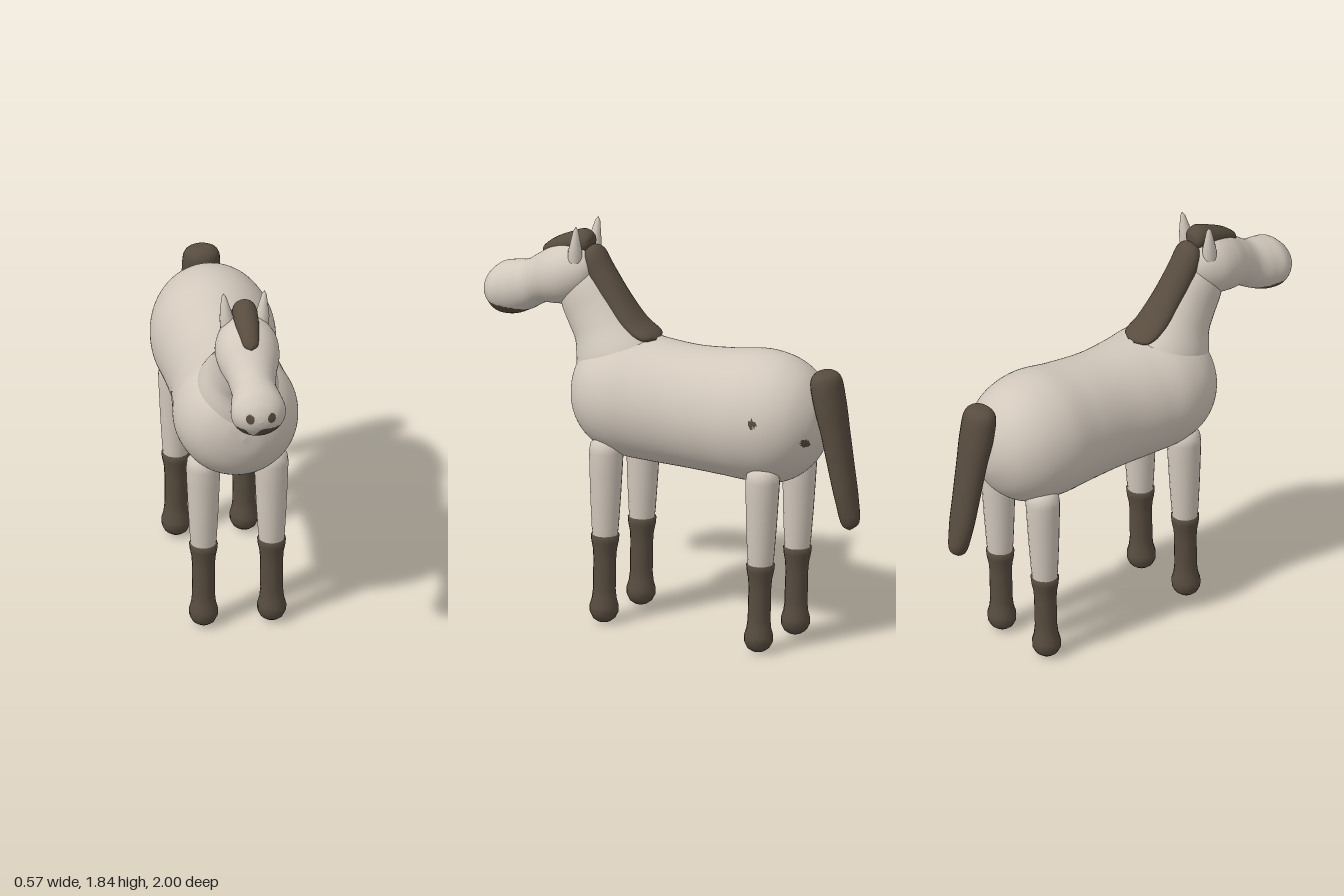
import * as THREE from 'three';

const coat = new THREE.MeshStandardMaterial({ color: 0xd2c8bc });
coat.name = 'coat';
const dark = new THREE.MeshStandardMaterial({ color: 0x584c3f });
dark.name = 'darkHair';

// Skin through oval rings: [upper z, upper y, lower z, lower y, half width].
// isDark(x, y, z) chooses which faces take the dark colour.
function loft(name, rings, rows, sides, isDark) {
  const upper = new THREE.CatmullRomCurve3(rings.map(r => new THREE.Vector3(r[4], r[1], r[0])));
  const lower = new THREE.CatmullRomCurve3(rings.map(r => new THREE.Vector3(r[4], r[3], r[2])));
  const pos = [];
  for (let i = 0; i <= rows; i++) {
    const a = upper.getPoint(i / rows), b = lower.getPoint(i / rows);
    const w = Math.max(0, (a.x + b.x) / 2);
    for (let j = 0; j < sides; j++) {
      const t = (j / sides) * Math.PI * 2, k = (1 + Math.cos(t)) / 2;
      pos.push(w * Math.sin(t), b.y + (a.y - b.y) * k, b.z + (a.z - b.z) * k);
    }
  }
  const faces = [[], []];
  const add = (...tri) => {
    const c = [0, 1, 2].map(n => tri.reduce((s, v) => s + pos[v * 3 + n], 0) / 3);
    faces[isDark(...c) ? 1 : 0].push(...tri);
  };
  for (let i = 0; i < rows; i++) {
    for (let j = 0; j < sides; j++) {
      const p = i * sides + j, q = i * sides + (j + 1) % sides;
      add(p, p + sides, q);
      add(q, p + sides, q + sides);
    }
  }
  const geo = new THREE.BufferGeometry();
  geo.setAttribute('position', new THREE.Float32BufferAttribute(pos, 3));
  geo.setIndex([...faces[0], ...faces[1]]);
  geo.addGroup(0, faces[0].length, 0);
  geo.addGroup(faces[0].length, faces[1].length, 1);
  geo.computeVertexNormals();
  const mesh = new THREE.Mesh(geo, [coat, dark]);
  mesh.name = name;
  return mesh;
}

const plain = () => false;
const allDark = () => true;

// Turned part from [radius, y] points listed bottom to top
function turned(name, profile, material, sides = 20) {
  const geo = new THREE.LatheGeometry(profile.map(p => new THREE.Vector2(...p)), sides);
  const mesh = new THREE.Mesh(geo, material);
  mesh.name = name;
  return mesh;
}

function makeLeg(name, x, z, lean) {
  const leg = new THREE.Group();
  leg.name = name;
  leg.add(turned('upperLeg', [[0.056, 0.4], [0.062, 0.46], [0.07, 0.6], [0.076, 0.74],
    [0.079, 0.82], [0.074, 0.855], [0.055, 0.878], [0.03, 0.888], [0, 0.89]], coat));
  leg.add(turned('stockingAndHoof', [[0, 0], [0.03, 0.006], [0.052, 0.022], [0.066, 0.05],
    [0.067, 0.08], [0.057, 0.115], [0.052, 0.16], [0.053, 0.21], [0.052, 0.3], [0.055, 0.35],
    [0.063, 0.39], [0.066, 0.42], [0.05, 0.425]], dark, 14));
  // slight lean along z, keeping the foot flat on the ground
  leg.traverse(o => {
    if (!o.isMesh) return;
    const p = o.geometry.attributes.position;
    for (let i = 0; i < p.count; i++) p.setZ(i, p.getZ(i) + lean * p.getY(i));
  });
  leg.position.set(x, 0, z);
  return leg;
}

export function createModel() {
  const horse = new THREE.Group();
  horse.name = 'horse';

  // Barrel with two small dark spots on the left flank
  const flankSpots = (x, y, z) => x > 0 &&
    (Math.hypot(z + 0.59, y - 1.122) < 0.02 || Math.hypot((z + 0.778) * 1.8, y - 1.02) < 0.02);
  horse.add(loft('body', [
    [-0.812, 1.09, -0.812, 1.09, 0],
    [-0.79, 1.2, -0.79, 0.98, 0.105],
    [-0.72, 1.305, -0.72, 0.86, 0.205],
    [-0.62, 1.365, -0.62, 0.79, 0.262],
    [-0.48, 1.385, -0.48, 0.77, 0.286],
    [-0.3, 1.36, -0.3, 0.77, 0.268],
    [-0.1, 1.34, -0.1, 0.77, 0.256],
    [0.08, 1.342, 0.08, 0.77, 0.272],
    [0.22, 1.35, 0.22, 0.775, 0.286],
    [0.34, 1.325, 0.34, 0.805, 0.26],
    [0.43, 1.27, 0.43, 0.87, 0.195],
    [0.48, 1.18, 0.48, 0.97, 0.1],
    [0.495, 1.08, 0.495, 1.08, 0],
  ], 150, 96, flankSpots));

  horse.add(loft('neck', [
    [0, 1.22, 0.47, 1.02, 0.22],
    [0.12, 1.35, 0.492, 1.18, 0.185],
    [0.22, 1.44, 0.505, 1.28, 0.145],
    [0.3, 1.53, 0.54, 1.34, 0.125],
    [0.37, 1.61, 0.58, 1.42, 0.115],
    [0.45, 1.67, 0.6, 1.5, 0.1],
  ], 40, 40, plain));

  // Head with dark chin and nostrils
  const headMarks = (x, y, z) => {
    if (z < 0.77) return false;
    const notch = 0.045 * Math.exp(-(((x + 0.035) / 0.025) ** 2)) * (z > 0.9 ? 1 : 0);
    const chin = y < 1.378 + (z - 0.78) * 0.17 - notch;
    const nostril = z > 0.93 && Math.hypot(Math.abs(x) - 0.05, (y - 1.467) * 0.8) < 0.019;
    return chin || nostril;
  };
  horse.add(loft('head', [
    [0.405, 1.61, 0.405, 1.61, 0],
    [0.42, 1.685, 0.42, 1.55, 0.075],
    [0.47, 1.725, 0.46, 1.49, 0.118],
    [0.55, 1.735, 0.53, 1.445, 0.145],
    [0.64, 1.705, 0.6, 1.43, 0.14],
    [0.72, 1.65, 0.68, 1.42, 0.115],
    [0.79, 1.605, 0.76, 1.375, 0.103],
    [0.86, 1.59, 0.84, 1.34, 0.118],
    [0.92, 1.573, 0.91, 1.338, 0.125],
    [0.97, 1.53, 0.965, 1.375, 0.09],
    [0.992, 1.49, 0.99, 1.415, 0.045],
    [1.0, 1.453, 1.0, 1.453, 0],
  ], 130, 80, headMarks));

  // Ears
  for (const s of [1, -1]) {
    const ear = turned(s > 0 ? 'leftEar' : 'rightEar',
      [[0.034, 0], [0.032, 0.05], [0.022, 0.1], [0.012, 0.15], [0, 0.172]], coat, 14);
    ear.position.set(s * 0.078, 1.67, 0.485);
    ear.rotation.set(-0.1, 0, -s * 0.1);
    horse.add(ear);
  }

  // Mane along the crest, and forelock between the ears
  horse.add(loft('mane', [
    [0.08, 1.355, 0.085, 1.34, 0.02],
    [0.1, 1.375, 0.13, 1.33, 0.078],
    [0.17, 1.425, 0.23, 1.36, 0.087],
    [0.26, 1.535, 0.33, 1.44, 0.078],
    [0.34, 1.65, 0.42, 1.54, 0.073],
    [0.4, 1.73, 0.46, 1.64, 0.066],
    [0.44, 1.735, 0.47, 1.68, 0.04],
    [0.46, 1.71, 0.46, 1.71, 0],
  ], 40, 24, allDark));
  horse.add(loft('forelock', [
    [0.435, 1.75, 0.435, 1.74, 0],
    [0.445, 1.785, 0.45, 1.7, 0.045],
    [0.48, 1.803, 0.48, 1.69, 0.056],
    [0.56, 1.775, 0.55, 1.68, 0.055],
    [0.64, 1.735, 0.62, 1.66, 0.045],
    [0.69, 1.695, 0.68, 1.65, 0.03],
    [0.705, 1.67, 0.7, 1.66, 0],
  ], 30, 20, allDark));

  // Tail, from the tip upward
  horse.add(loft('tail', [
    [-0.95, 0.605, -0.95, 0.605, 0],
    [-0.995, 0.645, -0.915, 0.625, 0.036],
    [-0.985, 0.75, -0.885, 0.74, 0.062],
    [-0.962, 0.9, -0.85, 0.88, 0.07],
    [-0.935, 1.07, -0.81, 1.05, 0.078],
    [-0.91, 1.22, -0.77, 1.2, 0.088],
    [-0.885, 1.32, -0.755, 1.3, 0.08],
    [-0.85, 1.342, -0.78, 1.338, 0.05],
    [-0.82, 1.345, -0.82, 1.345, 0],
  ], 40, 20, allDark));

  // Legs
  for (const s of [1, -1]) {
    const side = s > 0 ? 'left' : 'right';
    horse.add(makeLeg(side + 'FrontLeg', s * 0.157, 0.278, -0.016));
    horse.add(makeLeg(side + 'HindLeg', s * 0.157, -0.555, -0.03));
  }
  return horse;
}
